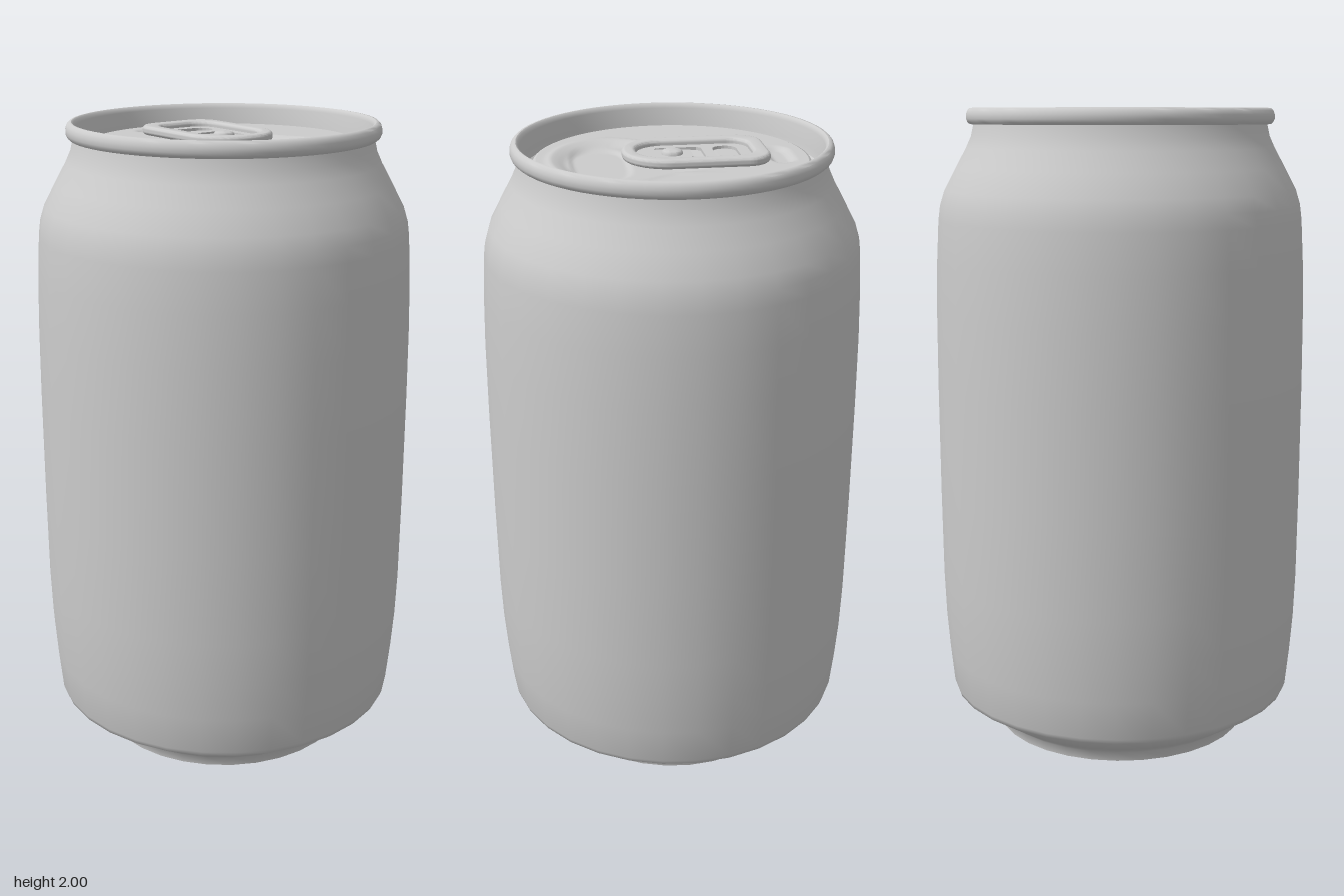
import * as THREE from 'three';
import { toCreasedNormals, mergeVertices } from 'three/addons/utils/BufferGeometryUtils.js';

const PANEL_Y = 1.94;
const material = new THREE.MeshStandardMaterial({ color: 0xcccccc, side: THREE.DoubleSide });
const smooth = THREE.MathUtils.smoothstep;

function part(name, geometry) {
  const mesh = new THREE.Mesh(geometry, material);
  mesh.name = name;
  return mesh;
}

function turned(name, profile, segments) {
  const points = profile.map(([r, y]) => new THREE.Vector2(r, y));
  return part(name, toCreasedNormals(new THREE.LatheGeometry(points, segments), 0.7));
}

// Rounded rectangle in plan; back and front are z values with their own corner radii
function roundRect(path, halfWidth, back, front, backR, frontR) {
  const corner = (side, z, r, start) =>
    path.absarc(side * (halfWidth - r), -z, r, start, start + Math.PI / 2, false);
  corner(1, back + backR, backR, 0);
  corner(-1, back + backR, backR, Math.PI / 2);
  corner(-1, front - frontR, frontR, Math.PI);
  corner(1, front - frontR, frontR, Math.PI * 1.5);
  path.closePath();
  return path;
}

// Plan shape raised into a plate whose underside rests at y
function plate(name, shape, y, depth, bevel) {
  const geometry = new THREE.ExtrudeGeometry(shape, {
    depth, curveSegments: 12, bevelEnabled: bevel > 0,
    bevelSize: bevel, bevelThickness: bevel, bevelOffset: -bevel, bevelSegments: 4,
  });
  geometry.rotateX(-Math.PI / 2).translate(0, y + bevel, 0);
  return part(name, toCreasedNormals(geometry, 0.7));
}

// Stamped relief of the lid: keyhole recess, mouth, bead and finger well
function relief(x, z) {
  const ax = Math.abs(x);
  const halfWidth = 0.15 + 0.07 * smooth(z, 0, 0.17);
  const d = z < 0.17
    ? ax - halfWidth
    : (Math.hypot(x / 0.22, (z - 0.17) / 0.17) - 1) * 0.2;
  const fade = smooth(z, -0.15, 0.02);
  let h = -0.012 * fade * (1 - smooth(d, -0.035, 0.01));
  h += 0.005 * fade * Math.exp(-(((d - 0.025) / 0.014) ** 2));
  const mouth = ((ax / 0.175) ** 3 + (Math.abs(z - 0.215) / 0.088) ** 3) ** (1 / 3);
  h -= 0.007 * (1 - smooth(mouth, 0.86, 1.04));
  const well = Math.hypot(Math.max(ax - 0.055, 0), z + 0.325);
  h -= 0.012 * (1 - smooth(well, 0.018, 0.042));
  return h;
}

function lidPanel() {
  let geometry = new THREE.RingGeometry(0, 0.405, 144, 56);
  geometry.deleteAttribute('uv');
  geometry.deleteAttribute('normal');
  geometry = mergeVertices(geometry.rotateX(-Math.PI / 2), 1e-5);
  const p = geometry.attributes.position;
  for (let i = 0; i < p.count; i++) p.setY(i, PANEL_Y + relief(p.getX(i), p.getZ(i)));
  geometry.computeVertexNormals();
  return part('lidPanel', geometry);
}

function pullTab() {
  const tab = new THREE.Group();
  tab.name = 'pullTab';

  // Curled outer frame
  const frame = roundRect(new THREE.Shape(), 0.14, -0.283, 0.15, 0.075, 0.135);
  frame.holes.push(roundRect(new THREE.Path(), 0.097, -0.235, 0.108, 0.06, 0.09));
  tab.add(plate('tabFrame', frame, PANEL_Y + 0.002, 0.006, 0.011));

  // Thin web with the finger slot and the slit around the rivet tongue
  const web = roundRect(new THREE.Shape(), 0.108, -0.246, 0.119, 0.065, 0.1);
  web.holes.push(roundRect(new THREE.Path(), 0.07, -0.2, -0.127, 0.034, 0.034));
  const slit = [[-0.068, 0.04], [-0.068, -0.082], [-0.055, -0.095], [0.055, -0.095], [0.068, -0.082],
    [0.068, 0.04], [0.055, 0.05], [0.042, -0.06], [-0.042, -0.06], [-0.055, 0.05]];
  web.holes.push(new THREE.Path(slit.map(([x, z]) => new THREE.Vector2(x, -z))));
  tab.add(plate('tabWeb', web, PANEL_Y + 0.004, 0.009, 0));

  // Rivet
  tab.add(turned('rivet', [[0.032, 1.93], [0.032, 1.958], [0.028, 1.964], [0.018, 1.967], [0, 1.968]], 24));
  return tab;
}

export function createModel() {
  const can = new THREE.Group();
  can.name = 'drinkCan';

  // Domed underside
  can.add(turned('base', [[0, 0.13], [0.1, 0.126], [0.2, 0.112], [0.29, 0.088], [0.355, 0.06],
    [0.38, 0.045], [0.392, 0.02], [0.4, 0], [0.41, 0]], 32));

  // Side wall from foot to neck
  can.add(turned('body', [[0.41, 0], [0.416, 0.03], [0.428, 0.042], [0.46, 0.062], [0.553, 0.125],
    [0.558, 0.14], [0.57, 0.26], [0.579, 0.38], [0.584, 0.52], [0.586, 0.8], [0.586, 1.15],
    [0.584, 1.38], [0.579, 1.54], [0.572, 1.66], [0.566, 1.705], [0.552, 1.75], [0.515, 1.82],
    [0.482, 1.88], [0.466, 1.915], [0.457, 1.955]], 32));

  // Rolled rim and countersunk groove
  can.add(turned('rim', [[0.452, 1.951], [0.468, 1.951], [0.475, 1.957], [0.479, 1.967], [0.479, 1.98],
    [0.475, 1.992], [0.468, 1.999], [0.461, 2], [0.455, 1.996], [0.451, 1.985], [0.446, 1.935],
    [0.441, 1.914], [0.432, 1.908], [0.422, 1.912], [0.416, 1.93], [0.412, 1.937], [0.405, PANEL_Y]], 64));

  can.add(lidPanel(), pullTab());
  return can;
}
